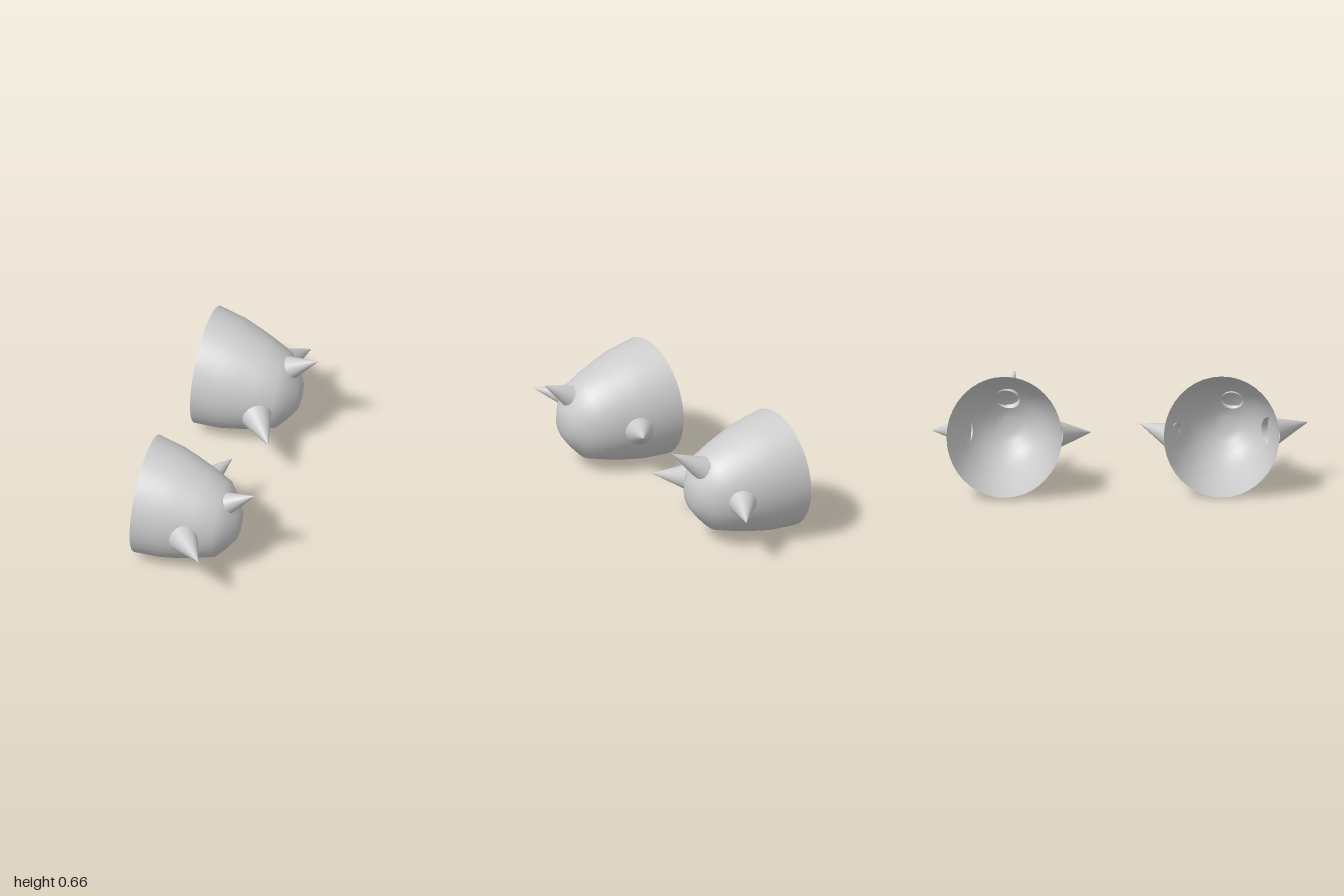
import * as THREE from 'three';

const material = new THREE.MeshStandardMaterial({ color: 0xcccccc, side: THREE.DoubleSide });

// Open dome: a lathe profile leaned and slightly sheared so it opens towards -x
function makeDome(x, y, z) {
  const profile = [
    [0.32, 0], [0.302, 0.14], [0.278, 0.23], [0.25, 0.32], [0.208, 0.43],
    [0.148, 0.48], [0.085, 0.523], [0.04, 0.531], [0, 0.533],
  ].map(([r, s]) => new THREE.Vector2(r, s));
  const geometry = new THREE.LatheGeometry(profile, 40);
  const lean = new THREE.Matrix4().makeBasis(
    new THREE.Vector3(0.055, 1.02, 0),
    new THREE.Vector3(1, -0.11, 0.13),
    new THREE.Vector3(0.045, 0, -0.96),
  );
  geometry.applyMatrix4(lean);
  const dome = new THREE.Mesh(geometry, material);
  dome.name = 'dome';
  dome.position.set(x, y, z);
  return dome;
}

// Hollow cone standing on its base centre and pointing at its tip
function makeSpike(name, base, tip, radius) {
  const from = new THREE.Vector3(...base);
  const axis = new THREE.Vector3(...tip).sub(from);
  const length = axis.length();
  const geometry = new THREE.ConeGeometry(radius, length, 32, 1, true);
  geometry.translate(0, length / 2, 0);
  const spike = new THREE.Mesh(geometry, material);
  spike.name = name;
  spike.position.copy(from);
  spike.quaternion.setFromUnitVectors(new THREE.Vector3(0, 1, 0), axis.normalize());
  return spike;
}

export function createModel() {
  const model = new THREE.Group();
  model.name = 'spikedPads';

  const pads = [
    {
      name: 'frontPad',
      rim: [-0.328, 0.327, 0.508],
      spikes: [
        ['noseSpike', [0.14, 0.417, 0.597], [0.295, 0.515, 0.625], 0.06],
        ['frontSpike', [-0.055, 0.287, 0.79], [0.083, 0.307, 1.0], 0.08],
        ['backSpike', [-0.07, 0.275, 0.27], [0.037, 0.325, 0.095], 0.075],
      ],
    },
    {
      name: 'backPad',
      rim: [-0.293, 0.337, -0.649],
      spikes: [
        ['noseSpike', [0.168, 0.437, -0.598], [0.345, 0.555, -0.545], 0.067],
        ['frontSpike', [0.055, 0.268, -0.355], [0.172, 0.25, -0.15], 0.08],
        ['backSpike', [0.08, 0.292, -0.825], [0.19, 0.27, -1.0], 0.075],
      ],
    },
  ];

  for (const { name, rim, spikes } of pads) {
    const pad = new THREE.Group();
    pad.name = name;
    pad.add(makeDome(...rim));
    for (const spike of spikes) pad.add(makeSpike(...spike));
    model.add(pad);
  }
  return model;
}
